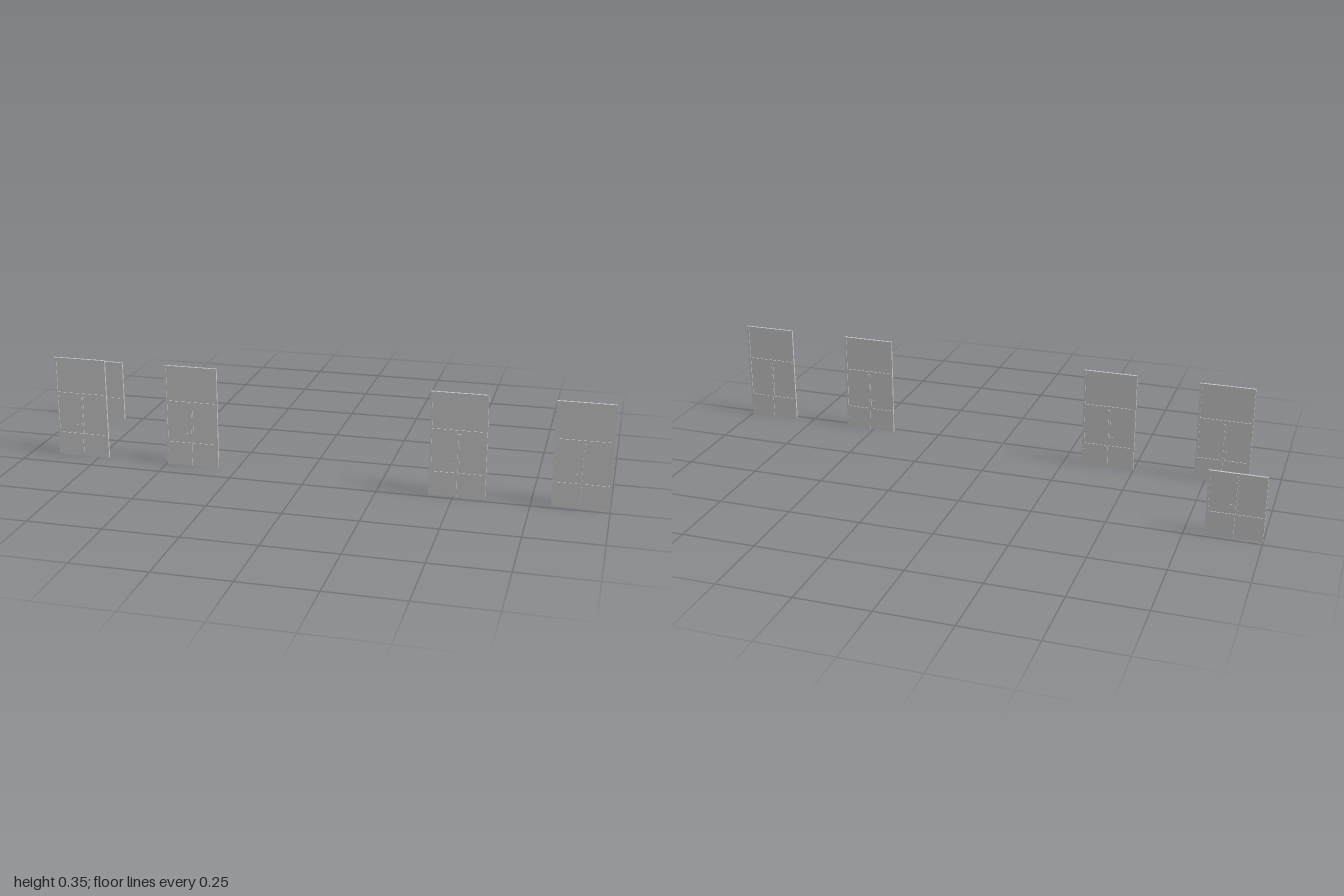
import * as THREE from 'three';

const W = 0.185, D = 0.007, DOOR_H = 0.222, TALL_H = 0.352, BAR = 0.007;
const material = new THREE.MeshStandardMaterial({ color: 0xcccccc, flatShading: true });

function addBox(parent, name, w, h, d, x, y, z = 0) {
  const mesh = new THREE.Mesh(new THREE.BoxGeometry(w, h, d), material);
  mesh.name = name;
  mesh.position.set(x, y, z);
  parent.add(mesh);
}

function makeHandle(dir) {
  const handle = new THREE.Group();
  handle.name = 'doorHandle';
  for (const side of [-1, 1]) {
    // Round base, stem and lever on each face of the door
    for (const [name, r, len, z] of [['handleBase', 0.0035, 0.001, 0.004], ['handleStem', 0.0012, 0.005, 0.0055]]) {
      const part = new THREE.Mesh(new THREE.CylinderGeometry(r, r, len, 10), material);
      part.name = name;
      part.rotation.x = Math.PI / 2;
      part.position.z = side * z;
      handle.add(part);
    }
    addBox(handle, 'handleLever', 0.015, 0.0025, 0.0016, dir * 0.006, 0, side * 0.0075);
  }
  return handle;
}

function makeDoor(height, handleSide) {
  const door = new THREE.Group();
  door.name = height > DOOR_H ? 'doubleDoorWithTransom' : 'doubleDoor';

  // Outer frame
  for (const s of [-1, 1]) addBox(door, 'frameJamb', BAR, height, D, s * (W - BAR) / 2, height / 2);
  addBox(door, 'frameHead', W - 2 * BAR, BAR, D, 0, height - BAR / 2);

  // Two leaves with a solid lower panel and glazing above
  const inner = W / 2 - BAR, panelH = 0.082, glassTop = DOOR_H - BAR;
  for (const s of [-1, 1]) {
    addBox(door, 'lowerPanel', inner - 0.0005, panelH, D * 0.9, s * (inner / 2 + 0.00025), panelH / 2);
    addBox(door, 'leafStile', 0.005, glassTop - panelH, D * 0.9, s * 0.00275, (glassTop + panelH) / 2);
    addBox(door, 'leafGlass', inner - 0.005, glassTop - panelH, 0.002, s * (inner + 0.005) / 2, (glassTop + panelH) / 2);
  }

  // Fixed light above the door
  if (height > DOOR_H) {
    addBox(door, 'transomBar', W - 2 * BAR, 0.012, D, 0, DOOR_H);
    const low = DOOR_H + 0.006, high = height - BAR;
    addBox(door, 'transomGlass', W - 2 * BAR, high - low, 0.002, 0, (low + high) / 2);
  }

  const handle = makeHandle(handleSide);
  handle.position.set(handleSide * 0.006, 0.115, 0);
  door.add(handle);
  return door;
}

export function createModel() {
  const model = new THREE.Group();
  model.name = 'doorSet';
  // x, z, height, handle side
  const doors = [
    [-0.9075, -0.229, DOOR_H, 1],
    [-0.806, 0.168, TALL_H, -1],
    [-0.407, 0.168, TALL_H, -1],
    [0.512, 0.229, TALL_H, -1],
    [0.9075, 0.229, TALL_H, -1],
  ];
  for (const [x, z, h, side] of doors) {
    const door = makeDoor(h, side);
    door.position.set(x, 0, z);
    model.add(door);
  }
  return model;
}
